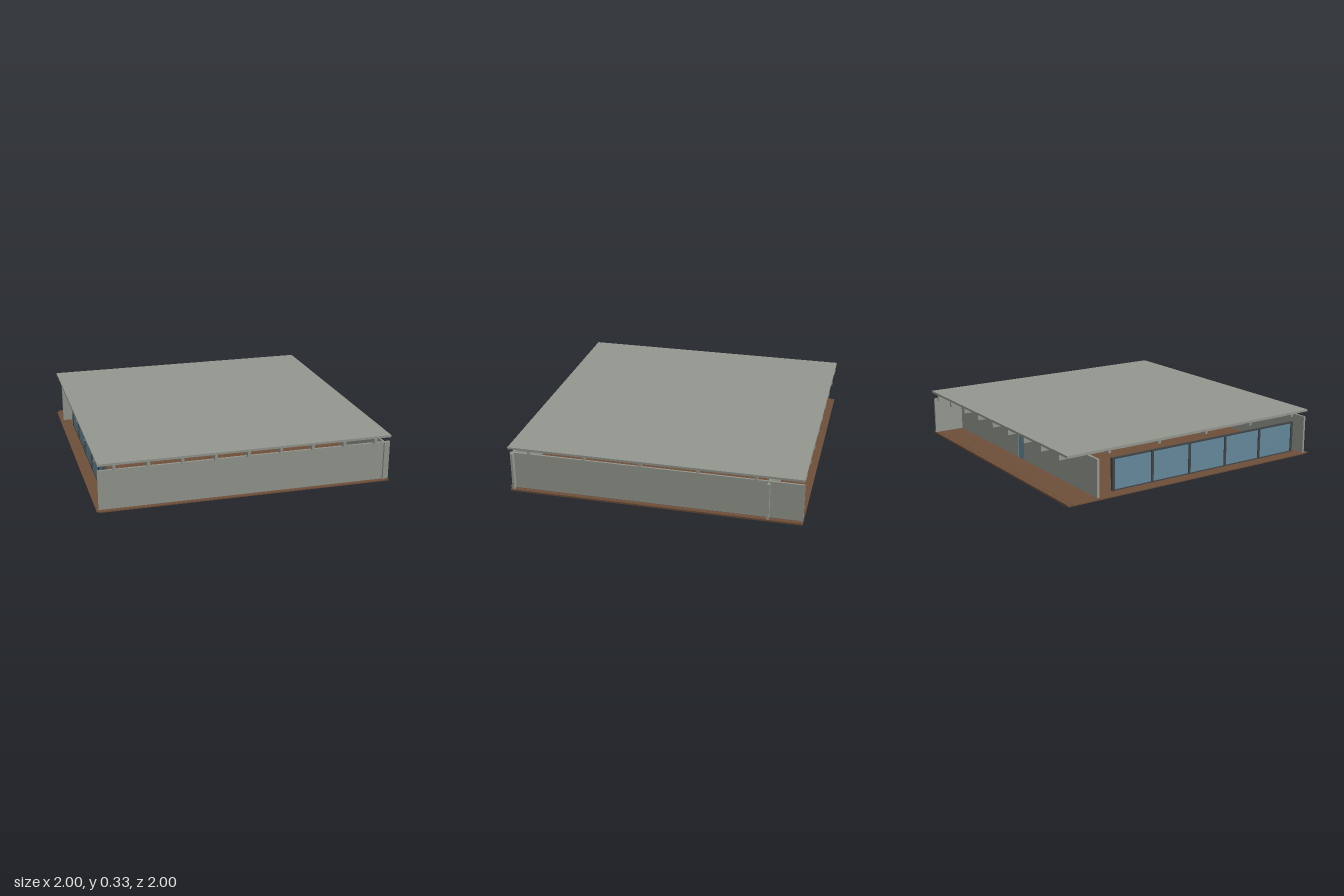
import * as THREE from 'three';

export function createModel() {
  const model = new THREE.Group();
  const mat = (name, color) => {
    const m = new THREE.MeshStandardMaterial({ color });
    m.name = name;
    return m;
  };
  const concrete = mat('concrete grey', 0x94978f);
  const paving = mat('paving brown', 0x6e4f3a);
  const glass = mat('glass blue', 0x64899a);
  const frame = mat('frame dark grey', 0x3f4446);

  // Box given by its limits along each axis
  const box = (name, material, [x0, x1], [y0, y1], [z0, z1], parent = model) => {
    const mesh = new THREE.Mesh(new THREE.BoxGeometry(x1 - x0, y1 - y0, z1 - z0), material);
    mesh.position.set((x0 + x1) / 2, (y0 + y1) / 2, (z0 + z1) / 2);
    mesh.name = name;
    parent.add(mesh);
    return mesh;
  };

  const X = [-0.985, 1], Z = [-1, 0.985];
  const floorTop = 0.013;

  // Base slab with a thin paved surface shifted over two of its edges
  box('baseSlab', paving, X, [0, floorTop], Z);
  box('pavedFloor', paving, [-1, 0.97], [floorTop - 0.001, floorTop + 0.001], [-0.97, 1]);

  // Roof plate
  box('roofSlab', concrete, X, [0.315, 0.33], Z);

  // Deep joists run front to back, shallow ones side to side
  const joists = new THREE.Group();
  joists.name = 'roofJoists';
  model.add(joists);
  for (let i = -4; i <= 4; i++) {
    const x = i * 0.221 + 0.005;
    box('deepJoist', concrete, [x - 0.01, x + 0.01], [0.277, 0.315], Z, joists);
  }
  for (let i = 0; i < 5; i++) {
    const z = 0.837 - i * 0.382;
    box('crossJoist', concrete, X, [0.295, 0.315], [z - 0.009, z + 0.009], joists);
  }

  // Long walls that cross and run past each other at the corners
  box('frontWall', concrete, X, [floorTop, 0.28], [0.955, 0.97]);
  box('sideWall', concrete, [0.955, 0.968], [floorTop, 0.277], Z);

  // Back wall, set in under the roof, with a doorway
  const backZ = [-0.78, -0.763], door = [-0.035, 0.05], doorTop = 0.2;
  box('backWallRight', concrete, [-0.975, door[0]], [floorTop, 0.268], backZ);
  box('backWallLeft', concrete, [door[1], 1], [floorTop, 0.268], backZ);
  box('backWallLintel', concrete, door, [doorTop, 0.268], backZ);
  box('glassDoor', glass, door, [floorTop, doorTop], [-0.776, -0.768]);

  // Row of glazed bays along the open side
  const windows = new THREE.Group();
  windows.name = 'windowRow';
  model.add(windows);
  const start = -0.62, bay = 0.305, bays = 5, wx = -0.91;
  for (let i = 0; i <= bays; i++) {
    const z = start + i * bay;
    box('windowPost', frame, [wx - 0.01, wx + 0.01], [floorTop, 0.235], [z - 0.009, z + 0.009], windows);
    if (i < bays) {
      box('windowPane', glass, [wx - 0.004, wx + 0.004], [floorTop + 0.008, 0.225],
        [z + 0.009, z + bay - 0.009], windows);
    }
  }
  const run = [start, start + bay * bays];
  box('windowSill', frame, [wx - 0.008, wx + 0.008], [floorTop, floorTop + 0.008], run, windows);
  box('windowHeader', frame, [wx - 0.008, wx + 0.008], [0.225, 0.235], run, windows);

  return model;
}
